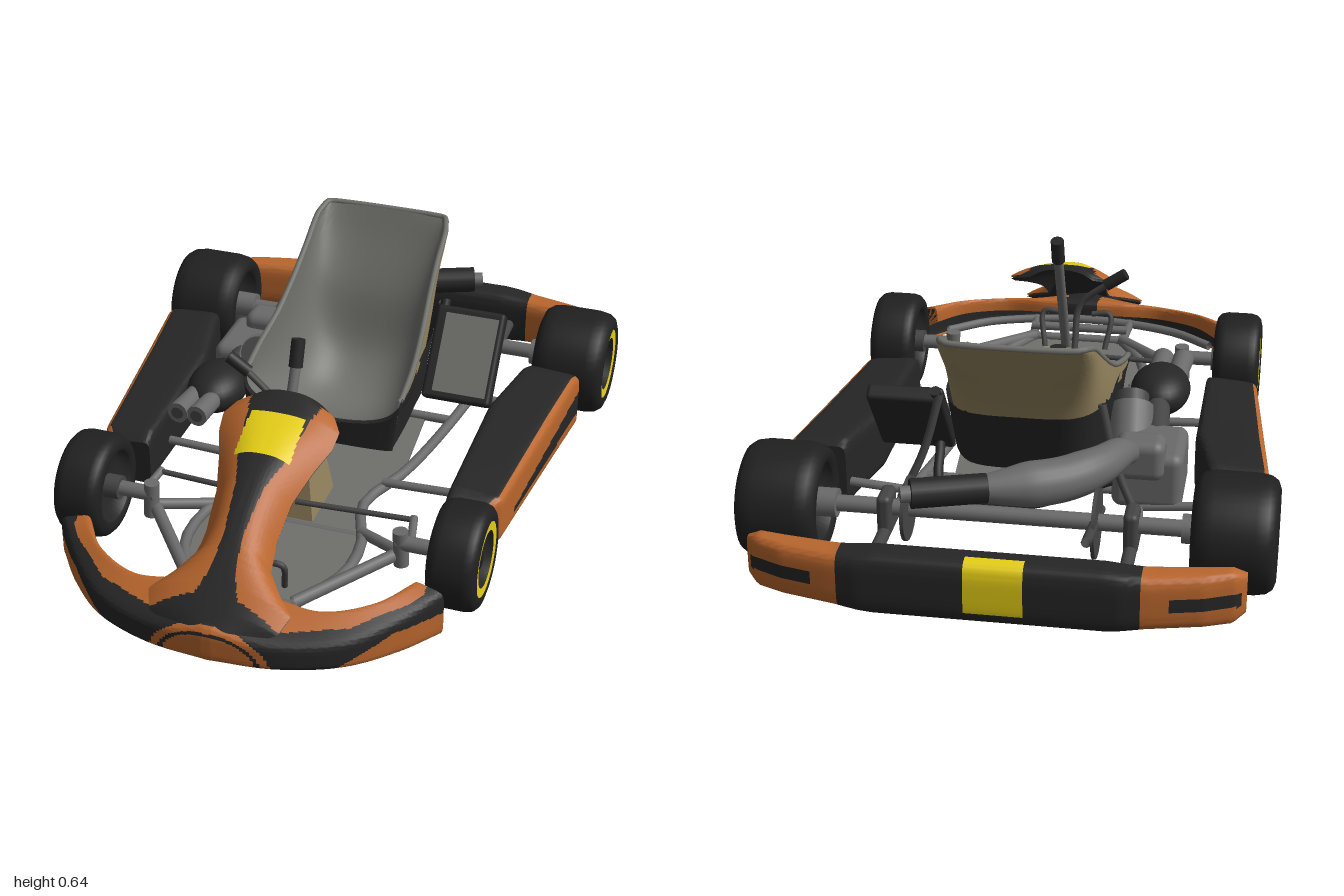
import * as THREE from 'three';
import { toCreasedNormals } from 'three/addons/utils/BufferGeometryUtils.js';
import { RoundedBoxGeometry } from 'three/addons/geometries/RoundedBoxGeometry.js';

const mat = (name, color) => new THREE.MeshStandardMaterial({ name, color, side: THREE.DoubleSide });
const V = (x, y, z) => new THREE.Vector3(x, y, z);

// piecewise linear lookup in [[t, value], ...]
function at(keys, t) {
  if (t <= keys[0][0]) return keys[0][1];
  for (let i = 1; i < keys.length; i++) {
    const [a, p] = keys[i - 1], [b, q] = keys[i];
    if (t <= b) return p + (q - p) * (t - a) / (b - a);
  }
  return keys[keys.length - 1][1];
}
const curve = (pts) => new THREE.CatmullRomCurve3(pts.map(p => V(...p)));

// grid surface from fn(u, v), u and v in 0..1; pick(point) chooses the material index
function surface(fn, nu, nv, pick, crease = 0.7) {
  const pos = [], lists = [[], [], []];
  for (let i = 0; i <= nu; i++) for (let j = 0; j <= nv; j++) pos.push(...fn(i / nu, j / nv));
  const mid = V(), p = V();
  for (let i = 0; i < nu; i++) for (let j = 0; j < nv; j++) {
    const a = i * (nv + 1) + j, b = a + nv + 1;
    mid.set(0, 0, 0);
    for (const k of [a, b, a + 1, b + 1]) mid.add(p.fromArray(pos, k * 3));
    lists[pick ? pick(mid.multiplyScalar(0.25)) : 0].push(a, b, b + 1, a, b + 1, a + 1);
  }
  const g = new THREE.BufferGeometry();
  g.setAttribute('position', new THREE.Float32BufferAttribute(pos, 3));
  g.setIndex(lists.flat());
  let start = 0;
  lists.forEach((l, m) => { if (l.length) g.addGroup(start, l.length, m); start += l.length; });
  return toCreasedNormals(g, crease);
}
// rounded-box loft; section(t) gives {c, a, h}: centre, half-depth vector, half-height.
// v runs up the inner side, over the top, down the outer side and back underneath
function loft(section, nu, nv, pick, n, v0 = 0, v1 = 1) {
  return surface((u, v) => {
    const t = THREE.MathUtils.clamp((u * (nu + 2) - 1) / nu, 0, 1);
    const { c, a, h } = section(t), q = (v0 + (v1 - v0) * v) * 4, m = Math.min(Math.floor(q), 3), f = (q - m) * 2 - 1;
    let [k, l] = [[-1, f], [f, 1], [1, -f], [-f, -1]][m];
    const s = u === 0 || u === 1 ? 0 : (Math.abs(k) ** n + Math.abs(l) ** n) ** (-1 / n);
    k *= s; l *= s;
    return [c.x + a.x * k, c.y + a.y * k * (l + 1) / 2 + h * l, c.z + a.z * k];
  }, nu + 2, nv, pick);
}

export function createModel() {
  const kart = new THREE.Group();
  kart.name = 'kart';
  const orange = mat('orange', 0xb9662d), yellow = mat('yellow', 0xe8d016), black = mat('black', 0x262626),
    rubber = mat('rubber', 0x202020), grey = mat('seat grey', 0x70706c), tan = mat('tan', 0x94845e),
    steel = mat('steel', 0x6a6a6a), dark = mat('dark steel', 0x444444);

  const add = (name, geo, material, x = 0, y = 0, z = 0, parent = kart) => {
    const m = new THREE.Mesh(geo, material);
    m.name = name;
    m.position.set(x, y, z);
    parent.add(m);
    return m;
  };
  const tube = (name, r, material, ...pts) =>
    add(name, new THREE.TubeGeometry(curve(pts), pts.length > 2 ? 24 : 1, r, 10), material);
  const rod = (name, r, material, a, b, r2 = r) => {
    const A = V(...a), B = V(...b), d = B.clone().sub(A);
    const m = add(name, new THREE.CylinderGeometry(r2, r, d.length(), 18), material, ...A.clone().add(B).multiplyScalar(0.5).toArray());
    m.quaternion.setFromUnitVectors(V(0, 1, 0), d.normalize());
    return m;
  };
  const box = (name, material, w, h, d, x, y, z, r = 0.015) =>
    add(name, new RoundedBoxGeometry(w, h, d, 3, r), material, x, y, z);
  const both = (fn) => [1, -1].forEach(fn);

  // wheels: tyre, coloured ring, dished rim, hub and bolts
  function wheel(name, s, x, R, w, z, ring) {
    const g = new THREE.Group(), h = w / 2;
    g.name = name;
    const lathe = (n, pts, m) => add(n, new THREE.LatheGeometry(pts.map(p => new THREE.Vector2(p[0], p[1])), 40), m, 0, 0, 0, g);
    lathe('tyre', [[ring, -h * 0.9], [R * 0.76, -h], [R * 0.89, -h * 0.93], [R * 0.965, -h * 0.78], [R, -h * 0.5], [R, h * 0.5],
      [R * 0.965, h * 0.78], [R * 0.89, h * 0.93], [R * 0.76, h], [ring, h * 0.94]], rubber);
    lathe('rimRing', [[ring + 0.003, h * 0.95], [ring - 0.024, h * 0.93]], yellow);
    lathe('rim', [[ring - 0.024, h * 0.93], [ring - 0.03, h * 0.5], [0.03, h * 0.4], [0.03, h * 0.75], [0, h * 0.75]], black);
    lathe('innerRim', [[ring, -h * 0.9], [ring - 0.02, -h * 0.4], [0, -h * 0.4]], black);
    for (let i = 0; i < 3; i++) {
      const a = i * Math.PI * 2 / 3;
      add('bolt', new THREE.CylinderGeometry(0.009, 0.009, 0.02, 8), dark, 0.048 * Math.cos(a), h * 0.5, 0.048 * Math.sin(a), g);
    }
    g.rotation.z = -s * Math.PI / 2;
    g.position.set(s * x, R, z);
    kart.add(g);
  }
  both(s => {
    wheel('rearWheel', s, 0.612, 0.1625, 0.226, -0.65, 0.107);
    wheel('frontWheel', s, 0.547, 0.152, 0.144, 0.47, 0.105);
  });

  // front bumper: crescent shell between an outer and an inner curve, open below, with a black lining
  const outerPts = [[0, 0.145, 0.993], [0.18, 0.115, 0.97], [0.35, 0.115, 0.9], [0.47, 0.138, 0.79], [0.555, 0.17, 0.68]];
  const outer = curve(outerPts), outerZ = outerPts.map(p => [p[0], p[2]]);
  const inner = curve([[0, 0.18, 0.82], [0.13, 0.178, 0.825], [0.26, 0.168, 0.835], [0.39, 0.178, 0.77], [0.465, 0.19, 0.67]]);
  const crescent = (inset) => (t) => {
    const s = t * 2 - 1, o = outer.getPoint(Math.abs(s)), i = inner.getPoint(Math.abs(s));
    if (s < 0) { o.x *= -1; i.x *= -1; }
    const c = o.clone().add(i).multiplyScalar(0.5), a = o.sub(c).multiplyScalar(1 - inset * 8), top = c.y;
    c.y = (top + 0.033) / 2;
    return { c, a, h: (top - 0.033) / 2 - inset };
  };
  add('frontBumper', loft(crescent(0), 160, 72, p => {
    const x = Math.abs(p.x), e = Math.hypot(x / 0.17, (p.y - 0.03) / 0.115), rim = at(outerZ, x) - p.z;
    if (p.z > 0.935 && x < 0.18) return e < 0.78 || (e > 0.86 && e < 1) ? 1 : 0;
    if (p.y > 0.115 && x > 0.055 && x < 0.505 && rim > 0.042) return 1;
    return x > 0.31 && rim < 0.035 && p.y > 0.038 && p.y < Math.min(0.11, 0.03 + 0.55 * (x - 0.31)) ? 1 : 0;
  }, 6, 0.16, 0.76), [black, orange]);
  add('bumperLining', loft(crescent(0.006), 40, 20, null, 6, 0.17, 0.74), [black]);
  tube('bumperBar', 0.014, steel, [-0.44, 0.08, 0.73], [-0.3, 0.08, 0.83], [0, 0.08, 0.89], [0.3, 0.08, 0.83], [0.44, 0.08, 0.73]);

  // nose fairing: arched panel rising from the bumper, with a black lining
  const spine = curve([[0, 0.14, 0.975], [0, 0.205, 0.9], [0, 0.27, 0.82], [0, 0.37, 0.67], [0, 0.442, 0.5], [0, 0.49, 0.335]]);
  const noseWidth = [[0.335, 0.1], [0.36, 0.142], [0.4, 0.17], [0.45, 0.165], [0.52, 0.138], [0.62, 0.108], [0.72, 0.1], [0.79, 0.11], [0.84, 0.15], [0.89, 0.2], [0.94, 0.18], [0.975, 0.1]];
  const centreBand = [[0.342, 0.2], [0.355, 0.105], [0.42, 0.09], [0.55, 0.07], [0.65, 0.04], [0.78, 0.026], [0.86, 0.036], [0.91, 0.06], [0.95, 0.25]];
  const nose = (inset) => (u, v) => {
    const p = spine.getPoint(u), k = v * 2 - 1;
    const drop = at([[0.335, 0.03], [0.45, 0.06], [0.75, 0.09], [0.975, 0.03]], p.z);
    return [k * (at(noseWidth, p.z) - inset * 0.3), p.y - inset - drop * Math.abs(k) ** 2.6, p.z];
  };
  add('noseFairing', surface(nose(0), 90, 64, p => Math.abs(p.x) < 0.08 && p.z > 0.415 && p.z < 0.56 ? 2 : Math.abs(p.x) < at(centreBand, p.z) ? 0 : 1),
    [black, orange, yellow]);
  add('noseLining', surface(nose(0.008), 36, 24), [black]);

  // side pods: tapered boxes with a painted outer face and a dark wedge
  const podOuter = [[0, 0.58], [0.06, 0.61], [1, 0.68]];
  both(s => {
    const pod = loft(t => {
      const o = at(podOuter, t), i = at([[0, 0.452], [0.65, 0.455], [1, 0.51]], t);
      const top = at([[0, 0.175], [0.05, 0.195], [0.95, 0.238], [1, 0.225]], t);
      return { c: V(s * (o + i) / 2 - 0.012, (top + 0.038) / 2, 0.27 - 0.72 * t), a: V(s * (o - i) / 2, -0.006, 0), h: (top - 0.038) / 2 };
    }, 72, 104, p => {
      if (Math.abs(p.x + 0.012) < at(podOuter, (0.27 - p.z) / 0.72) - 0.016) return 0;
      const k = (0.12 - p.z) / 0.57;
      return k > 0 && p.y > 0.072 + 0.018 * k && p.y < 0.09 + 0.075 * k ? 0 : 1;
    }, 8);
    add('sidePod', pod, [black, orange]);
  });

  // rear bumper: wide bar with swept ends, slots and a plate
  add('rearBumper', loft(t => {
    const x = (t * 2 - 1) * 0.656, n = Math.abs(x);
    const back = at([[0.34, -1], [0.42, -0.985], [0.55, -0.955], [0.63, -0.92], [0.656, -0.89]], n);
    const front = at([[0.38, -0.895], [0.656, -0.858]], n);
    return { c: V(x, 0.117, (back + front) / 2), a: V(0, 0, (back - front) / 2), h: at([[0.3, 0.088], [0.41, 0.077], [0.62, 0.075], [0.656, 0.055]], n) };
  }, 110, 64, p => {
    const n = Math.abs(p.x);
    if (Math.abs(p.x + 0.015) < 0.08 && p.z < -0.953 && p.y > 0.06) return 2;
    if (n < 0.39) return 0;
    return n > 0.46 && n < 0.65 && p.y > 0.095 && p.y < 0.132 && p.z < -0.89 ? 0 : 1;
  }, 4), [black, orange, yellow]);

  // seat: grey inside, tan shell with a black lower half
  const mid = curve([[0, 0.25, 0.065], [0, 0.16, -0.08], [0, 0.13, -0.25], [0, 0.21, -0.38], [0, 0.4, -0.455], [0, 0.55, -0.54], [0, 0.632, -0.582]]);
  const rim = curve([[0.236, 0.34, 0.05], [0.234, 0.375, -0.07], [0.222, 0.42, -0.2], [0.21, 0.49, -0.32], [0.203, 0.56, -0.43], [0.2, 0.61, -0.52], [0.185, 0.628, -0.572]]);
  const seatPoint = (v, u, d) => {
    const c = mid.getPoint(v), r = rim.getPoint(v), a = (u * 2 - 1) * Math.PI / 2, x = Math.sin(a);
    const k = 1 - Math.cos(a) ** 0.8;
    const p = c.lerp(V(0, r.y, r.z), k);
    return [(r.x + d) * Math.sign(x) * Math.abs(x) ** 0.75, p.y - d * (1 - k), p.z - d * v * (1 - k)];
  };
  add('seatInside', surface((v, u) => seatPoint(v, u, 0), 36, 36, null, 1.5), [grey]);
  add('seatShell', surface((v, u) => seatPoint(v, u, 0.012), 48, 48, p => p.y < 0.345 ? 1 : 0, 1.5), [tan, black]);
  const edge = [];
  for (let i = 0; i <= 12; i++) edge.push(seatPoint(i / 12, 0, 0.006));
  for (let i = 1; i < 8; i++) edge.push(seatPoint(1, i / 8, 0.006));
  for (let i = 12; i >= 0; i--) edge.push(seatPoint(i / 12, 1, 0.006));
  add('seatRim', new THREE.TubeGeometry(curve(edge), 120, 0.009, 8), grey);
  // skirt wrapped around the lower seat and apron in front
  const wrap = curve([[0.243, 0.335, 0.065], [0.243, 0.362, -0.07], [0.237, 0.37, -0.2], [0.225, 0.37, -0.35], [0.16, 0.37, -0.455], [0, 0.37, -0.475],
    [-0.16, 0.37, -0.455], [-0.225, 0.37, -0.35], [-0.237, 0.37, -0.2], [-0.243, 0.362, -0.07], [-0.243, 0.335, 0.065]]);
  add('seatSkirt', surface((u, v) => {
    const p = wrap.getPoint(u);
    return [p.x * (0.92 + 0.08 * v), 0.18 + (p.y - 0.18) * v, p.z * (p.z < 0 ? 0.87 + 0.13 * v : 1)];
  }, 60, 2), [black]);
  add('seatApron', surface((u, v) => {
    const p = seatPoint(0, u, 0.006);
    return [p[0] * (0.92 + 0.08 * v), 0.17 + (p[1] - 0.17) * v, p[2] + 0.012];
  }, 24, 1), [black]);

  // floor pan
  const half = [[0.12, 0.74], [0.2, 0.64], [0.245, 0.52], [0.23, 0.4], [0.185, 0.24], [0.2, 0.1], [0.245, 0.02], [0.22, -0.3]];
  const outline = [...half, ...half.map(([x, z]) => [-x, z]).reverse()].map(p => new THREE.Vector2(...p));
  add('floorPan', new THREE.ExtrudeGeometry(new THREE.Shape(outline), { depth: 0.01, bevelEnabled: false }).rotateX(Math.PI / 2), grey, 0, 0.07, 0);

  // tubular frame and front suspension
  both(s => {
    tube('frameRail', 0.016, steel, [s * 0.14, 0.075, 0.75], [s * 0.235, 0.075, 0.56], [s * 0.24, 0.075, 0.42], [s * 0.185, 0.075, 0.22],
      [s * 0.25, 0.075, 0.02], [s * 0.3, 0.075, -0.25], [s * 0.335, 0.09, -0.5], [s * 0.335, 0.1, -0.7]);
    rod('rearRail', 0.018, dark, [s * 0.335, 0.1, -0.55], [s * 0.335, 0.105, -0.93]);
    tube('frontBrace', 0.018, steel, [s * 0.15, 0.08, 0.73], [s * 0.36, 0.11, 0.47]);
    tube('rearBrace', 0.016, steel, [s * 0.22, 0.08, 0.36], [s * 0.37, 0.11, 0.46]);
    tube('tieRod', 0.008, dark, [s * 0.04, 0.17, 0.4], [s * 0.38, 0.17, 0.38]);
    tube('steeringArm', 0.012, steel, [s * 0.38, 0.17, 0.37], [s * 0.4, 0.15, 0.47]);
    rod('kingpin', 0.022, steel, [s * 0.375, 0.08, 0.47], [s * 0.37, 0.19, 0.47]);
    rod('stubAxle', 0.022, steel, [s * 0.36, 0.152, 0.47], [s * 0.53, 0.152, 0.47]);
    rod('frontHub', 0.035, dark, [s * 0.465, 0.152, 0.47], [s * 0.51, 0.152, 0.47]);
    tube('bumperMount', 0.014, steel, [s * 0.15, 0.075, 0.73], [s * 0.16, 0.08, 0.88]);
    tube('podMount', 0.013, steel, [s * 0.21, 0.09, 0.115], [s * 0.48, 0.1, 0.115]);
    tube('podMount', 0.013, steel, [s * 0.32, 0.09, -0.42], [s * 0.55, 0.11, -0.42]);
    tube('seatStay', 0.012, dark, [s * 0.33, 0.11, -0.5], [s * 0.27, 0.24, -0.47], [s * 0.225, 0.41, -0.44]);
    tube('pedal', 0.009, dark, [s * 0.1, 0.075, 0.66], [s * 0.11, 0.18, 0.71], [s * 0.05, 0.18, 0.71]);
    box('axleCarrier', dark, 0.04, 0.12, 0.09, s * 0.335, 0.15, -0.65);
    rod('rearHub', 0.04, steel, [s * 0.47, 0.162, -0.65], [s * 0.54, 0.162, -0.65]);
  });
  for (const [z, w, y] of [[0.74, 0.16, 0.075], [0.77, 0.16, 0.1], [0.36, 0.22, 0.06], [-0.3, 0.3, 0.075], [-0.52, 0.335, 0.09]])
    rod('crossTube', 0.014, steel, [-w, y, z], [w, y, z]);

  // rear axle, sprocket and brake
  rod('rearAxle', 0.023, steel, [-0.54, 0.162, -0.65], [0.54, 0.162, -0.65]);
  rod('sprocket', 0.1, dark, [-0.245, 0.162, -0.65], [-0.235, 0.162, -0.65]);
  rod('brakeDisc', 0.09, dark, [0.27, 0.162, -0.65], [0.28, 0.162, -0.65]);
  box('brakeCaliper', orange, 0.04, 0.06, 0.06, 0.275, 0.17, -0.58);

  // engine, carburettor and air box
  box('crankcase', steel, 0.2, 0.17, 0.22, -0.35, 0.17, -0.32, 0.03);
  box('engineCover', steel, 0.14, 0.12, 0.1, -0.33, 0.24, -0.4, 0.03);
  rod('cylinder', 0.062, steel, [-0.29, 0.16, -0.3], [-0.28, 0.28, -0.17]);
  rod('cylinderHead', 0.05, dark, [-0.28, 0.26, -0.19], [-0.276, 0.3, -0.14]);
  rod('carburettor', 0.035, dark, [-0.36, 0.22, -0.24], [-0.345, 0.25, -0.06]);
  add('airBox', new THREE.SphereGeometry(1, 28, 18), black, -0.345, 0.255, 0.01).scale.set(0.088, 0.068, 0.12);
  for (const x of [-0.395, -0.335]) {
    rod('intakeHorn', 0.028, steel, [x + 0.01, 0.26, 0.07], [x, 0.265, 0.21], 0.032);
    rod('intakeMouth', 0.019, dark, [x, 0.265, 0.205], [x, 0.265, 0.212]);
  }
  tube('fuelLine', 0.009, black, [-0.25, 0.28, -0.08], [-0.2, 0.2, 0.1], [-0.08, 0.16, 0.2]);

  // exhaust: one swelling pipe and a silencer
  const pipe = curve([[-0.3, 0.23, -0.38], [-0.285, 0.285, -0.47], [-0.235, 0.29, -0.57], [-0.15, 0.285, -0.65], [-0.04, 0.288, -0.71], [0.06, 0.293, -0.755]]);
  add('exhaustChamber', surface((u, v) => {
    const c = pipe.getPoint(u), side = pipe.getTangent(u).cross(V(0, 1, 0)).normalize(), w = v * Math.PI * 2;
    const r = at([[0, 0.036], [0.2, 0.042], [0.5, 0.06], [0.75, 0.063], [1, 0.034]], u);
    return [c.x + side.x * r * Math.cos(w), c.y + r * Math.sin(w), c.z + side.z * r * Math.cos(w)];
  }, 30, 20, null, 1.5), [steel]);
  rod('silencer', 0.04, black, [0.04, 0.293, -0.745], [0.23, 0.298, -0.815]);
  rod('tailPipe', 0.022, steel, [0.21, 0.298, -0.808], [0.255, 0.298, -0.825]);
  tube('exhaustSupport', 0.014, dark, [-0.235, 0.13, -0.52], [-0.235, 0.2, -0.83]);

  // radiator leaning back beside the seat
  const radiator = new THREE.Group();
  radiator.name = 'radiator';
  radiator.position.set(0.327, 0.287, -0.343);
  radiator.rotation.x = -0.65;
  kart.add(radiator);
  add('radiatorFrame', new RoundedBoxGeometry(0.215, 0.29, 0.05, 2, 0.012), black, 0, 0, 0, radiator);
  add('radiatorCore', new THREE.BoxGeometry(0.165, 0.245, 0.006), grey, 0.008, 0, 0.026, radiator);
  add('radiatorCap', new THREE.CylinderGeometry(0.015, 0.015, 0.03, 14), black, -0.09, 0.15, 0, radiator);
  tube('radiatorHose', 0.014, black, [0.25, 0.2, -0.33], [0.22, 0.12, -0.45], [0, 0.1, -0.48], [-0.26, 0.16, -0.4]);

  // fuel tank
  const tank = add('fuelTank', new THREE.CylinderGeometry(0.07, 0.1, 0.16, 4, 1).rotateY(Math.PI / 4).toNonIndexed(), tan, 0, 0.15, 0.25);
  tank.geometry.computeVertexNormals();
  tank.scale.set(1, 1, 1.35);
  rod('tankCap', 0.025, black, [0, 0.225, 0.27], [0, 0.25, 0.27]);

  // steering column and gear lever
  rod('steeringColumn', 0.015, steel, [0, 0.12, 0.48], [0, 0.56, 0.265]);
  rod('steeringHub', 0.02, black, [0, 0.535, 0.277], [0, 0.61, 0.25]);
  tube('gearLever', 0.01, dark, [-0.06, 0.16, 0.17], [-0.06, 0.3, 0.23], [-0.07, 0.4, 0.26], [-0.17, 0.49, 0.25]);
  rod('gearKnob', 0.018, black, [-0.15, 0.475, 0.25], [-0.21, 0.515, 0.25]);
  return kart;
}
